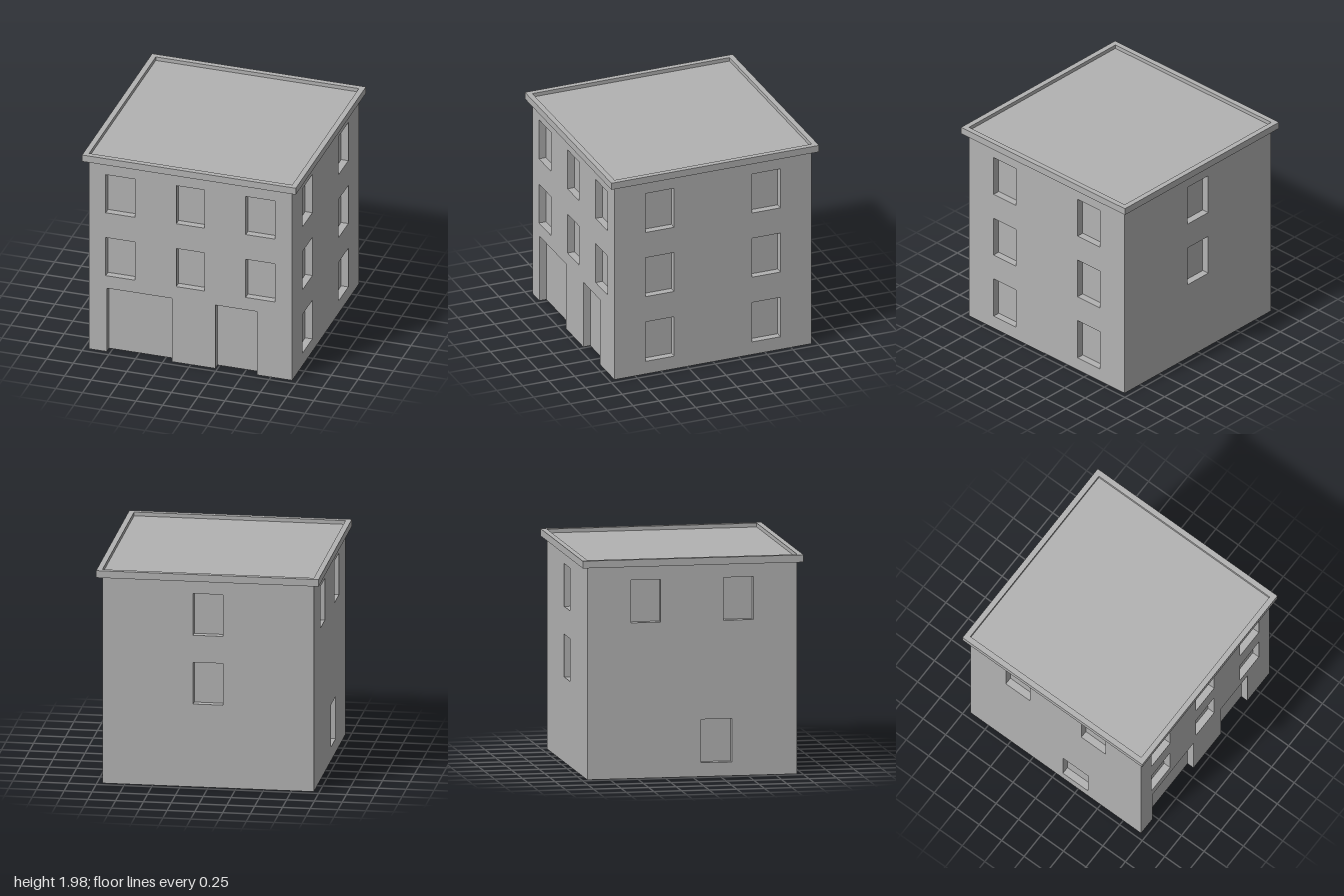
import * as THREE from 'three';

const HALF = 0.95;      // half width of the body
const WALL_TOP = 1.91;
const DEPTH = 0.067;    // depth of window and door recesses

// Openings are [left, right, bottom, top]; bottom = 0 marks a door.
const rows = [[0.125, 0.515], [0.765, 1.15], [1.4, 1.785]];
const win = (left, right, row) => [left, right, ...rows[row]];
const doors = [[-0.785, -0.175, 0, 0.64], [0.23, 0.62, 0, 0.64]];

const rectangle = (l, r, b, t) =>
  [[l, b], [r, b], [r, t], [l, t]].map(([x, y]) => new THREE.Vector2(x, y));

// Wall outline with doors cut from its lower edge and windows as holes.
function wallShape(openings) {
  const shape = new THREE.Shape();
  shape.moveTo(-HALF, 0);
  for (const [l, r, b, t] of openings) {
    if (b > 0) {
      shape.holes.push(new THREE.Path(rectangle(l, r, b, t)));
    } else {
      shape.lineTo(l, 0);
      shape.lineTo(l, t);
      shape.lineTo(r, t);
      shape.lineTo(r, 0);
    }
  }
  shape.lineTo(HALF, 0);
  shape.lineTo(HALF, WALL_TOP);
  shape.lineTo(-HALF, WALL_TOP);
  shape.closePath();
  return shape;
}

// Inward-facing box without its front (and without a floor for doors).
function recessGeometry([l, r, b, t]) {
  const geo = new THREE.BoxGeometry(r - l, t - b, DEPTH);
  const source = geo.index.array;
  const index = [];
  const sides = b > 0 ? [0, 1, 2, 3, 5] : [0, 1, 2, 5];
  for (const side of sides) {
    for (let i = side * 6; i < side * 6 + 6; i += 3) {
      index.push(source[i], source[i + 2], source[i + 1]);
    }
  }
  geo.clearGroups();
  geo.setIndex(index);
  geo.computeVertexNormals();
  geo.translate((l + r) / 2, (b + t) / 2, HALF - DEPTH / 2);
  return geo;
}

export function createModel() {
  const model = new THREE.Group();
  model.name = 'building';
  const grey = new THREE.MeshStandardMaterial({ color: 0xb2b2b2 });
  grey.name = 'plain grey';

  const add = (parent, name, geometry) => {
    const mesh = new THREE.Mesh(geometry, grey);
    mesh.name = name;
    parent.add(mesh);
    return mesh;
  };

  const sideWindows = [0, 1, 2].flatMap((row) =>
    [win(-0.65, -0.375, row), win(0.375, 0.65, row)]);
  const frontWindows = [1, 2].flatMap((row) =>
    [win(-0.795, -0.52, row), win(-0.135, 0.13, row), win(0.515, 0.79, row)]);

  const facades = [
    ['front', 0, [...doors, ...frontWindows]],
    ['right', Math.PI / 2, sideWindows],
    ['back', Math.PI, [win(-0.135, 0.135, 1), win(-0.135, 0.135, 2)]],
    ['left', -Math.PI / 2, [win(0.08, 0.36, 0), win(-0.555, -0.285, 2), win(0.285, 0.555, 2)]],
  ];

  // Four walls with their recesses
  for (const [side, angle, openings] of facades) {
    const facade = new THREE.Group();
    facade.name = side + 'Facade';
    facade.rotation.y = angle;
    add(facade, side + 'Wall', new THREE.ShapeGeometry(wallShape(openings)).translate(0, 0, HALF));
    for (const o of openings) add(facade, o[2] > 0 ? 'windowRecess' : 'doorRecess', recessGeometry(o));
    model.add(facade);
  }

  // Underside, notched at the doorways
  const base = new THREE.Shape();
  base.moveTo(-HALF, -HALF);
  base.lineTo(HALF, -HALF);
  base.lineTo(HALF, HALF);
  for (const [l, r] of [...doors].reverse()) {
    base.lineTo(r, HALF);
    base.lineTo(r, HALF - DEPTH);
    base.lineTo(l, HALF - DEPTH);
    base.lineTo(l, HALF);
  }
  base.lineTo(-HALF, HALF);
  base.closePath();
  add(model, 'underside', new THREE.ShapeGeometry(base).rotateX(Math.PI / 2));

  // Overhanging cornice ring with a sunken flat roof
  const ring = new THREE.Shape(rectangle(-1, 1, -1, 1));
  ring.holes.push(new THREE.Path(rectangle(-HALF, HALF, -HALF, HALF)));
  const cornice = new THREE.ExtrudeGeometry(ring, { depth: 0.065, bevelEnabled: false });
  add(model, 'cornice', cornice.rotateX(-Math.PI / 2)).position.y = WALL_TOP;
  const roof = new THREE.PlaneGeometry(HALF * 2, HALF * 2).rotateX(-Math.PI / 2);
  add(model, 'flatRoof', roof).position.y = 1.94;

  return model;
}
